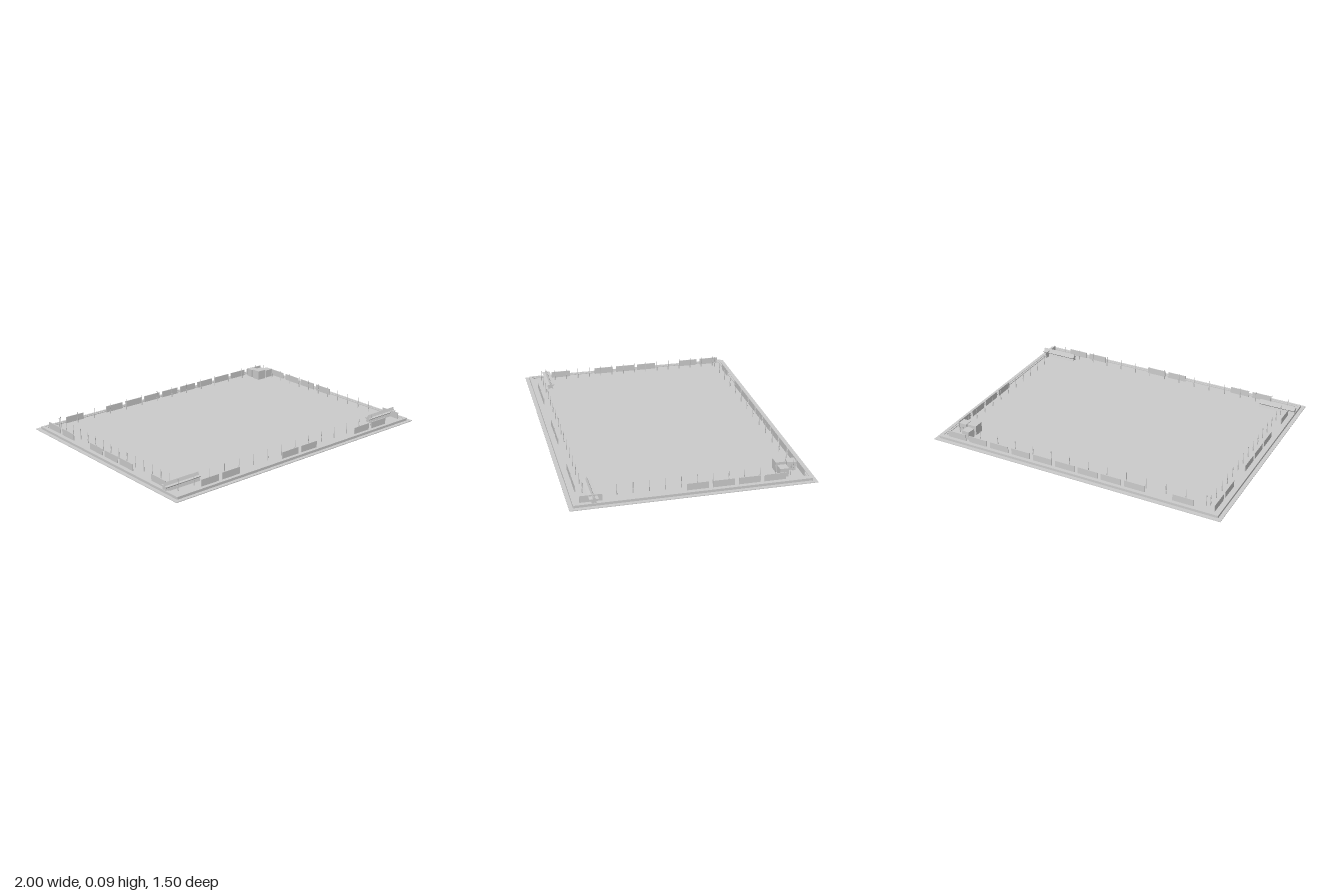
import * as THREE from 'three';

const FLOOR = 0.012;

export function createModel() {
  const model = new THREE.Group();
  const grey = new THREE.MeshStandardMaterial({ color: 0xcccccc });
  grey.name = 'plain grey';

  const add = (name, geometry, x, y, z, parent = model) => {
    const mesh = new THREE.Mesh(geometry, grey);
    mesh.name = name;
    mesh.position.set(x, y, z);
    parent.add(mesh);
    return mesh;
  };
  const box = (name, w, h, d, x, bottom, z, parent) =>
    add(name, new THREE.BoxGeometry(w, h, d), x, bottom + h / 2, z, parent);

  // Ground plate and raised floor
  box('groundPlate', 2, 0.004, 1.5, 0, 0, 0);
  box('arenaFloor', 1.93, FLOOR - 0.002, 1.43, 0, 0.002, 0);

  // Curb: rectangular ring, inner corners cut off
  const outline = (T, x, z, c) => {
    const s = new T();
    s.setFromPoints([
      [x - c, -z], [x, c - z], [x, z - c], [x - c, z],
      [c - x, z], [-x, z - c], [-x, c - z], [c - x, -z],
    ].map(([a, b]) => new THREE.Vector2(a, b)));
    s.closePath();
    return s;
  };
  const ring = (name, xo, zo, xi, zi, top) => {
    const shape = outline(THREE.Shape, xo, zo, 0.002);
    shape.holes.push(outline(THREE.Path, xi, zi, 0.015));
    const g = new THREE.ExtrudeGeometry(shape, { depth: top - 0.002, bevelEnabled: false });
    g.rotateX(-Math.PI / 2);
    add(name, g, 0, 0.002, 0);
  };
  ring('outerCurb', 0.975, 0.725, 0.96, 0.71, 0.02);
  ring('innerCurbStep', 0.962, 0.712, 0.948, 0.698, 0.017);

  // Boards along each side: [along x?, fixed coordinate, first centre, slots]
  const boards = new THREE.Group();
  boards.name = 'boards';
  model.add(boards);
  const boardRows = [
    [true, 0.685, -0.703, [0, 1, 4, 5, 8, 9]],
    [true, -0.688, -0.735, [0, 2, 3, 4, 5, 6, 7, 8, 9, 10]],
    [false, -0.935, -0.617, [0, 1, 3, 4, 5, 7]],
    [false, 0.932, -0.502, [0, 1, 2, 3, 7]],
  ];
  for (const [alongX, fixed, first, slots] of boardRows) {
    for (const slot of slots) {
      const at = first + slot * 0.1595;
      if (alongX) box('board', 0.134, 0.055 - FLOOR, 0.005, at, FLOOR, fixed, boards);
      else box('board', 0.005, 0.055 - FLOOR, 0.134, fixed, FLOOR, at, boards);
    }
  }

  // Thin posts with thicker feet: [along x?, fixed coordinate, first, spacing, count]
  const posts = new THREE.Group();
  posts.name = 'posts';
  model.add(posts);
  const foot = new THREE.CylinderGeometry(0.003, 0.003, 0.028, 6);
  const rod = new THREE.CylinderGeometry(0.0018, 0.0018, 0.085 - FLOOR, 6);
  const postRows = [
    [true, 0.645, -0.905, 0.115, 16],
    [true, -0.648, -0.87, 0.1315, 14],
    [false, -0.89, -0.634, 0.0845, 15],
    [false, 0.89, -0.613, 0.097, 12],
  ];
  for (const [alongX, fixed, first, step, count] of postRows) {
    for (let i = 0; i < count; i++) {
      const at = first + i * step;
      const [x, z] = alongX ? [at, fixed] : [fixed, at];
      add('postFoot', foot, x, FLOOR + 0.014, z, posts);
      add('postRod', rod, x, (FLOOR + 0.085) / 2, z, posts);
    }
  }

  // Long barriers with a star cross-section in the two front corners
  const star = new THREE.Shape();
  star.setFromPoints(Array.from({ length: 10 }, (_, i) => {
    const a = Math.PI / 2 + i * Math.PI / 5, r = i % 2 ? 0.0125 : 0.029;
    return new THREE.Vector2(r * Math.cos(a), r * Math.sin(a));
  }));
  const starBar = new THREE.ExtrudeGeometry(star, { depth: 0.25, bevelEnabled: false });
  starBar.translate(0, 0, -0.125);
  starBar.rotateY(Math.PI / 2);
  for (const side of [-1, 1]) add('starBarrier', starBar, side * 0.848, 0.037, 0.602);

  // Crates in the back corner
  box('largeCrate', 0.065, 0.065, 0.065, 0.806, FLOOR, -0.567);
  box('smallCrate', 0.055, 0.055, 0.055, 0.88, FLOOR, -0.567);
  box('turnedCrate', 0.055, 0.055, 0.055, 0.807, FLOOR, -0.64).rotation.y = -0.12;

  return model;
}
